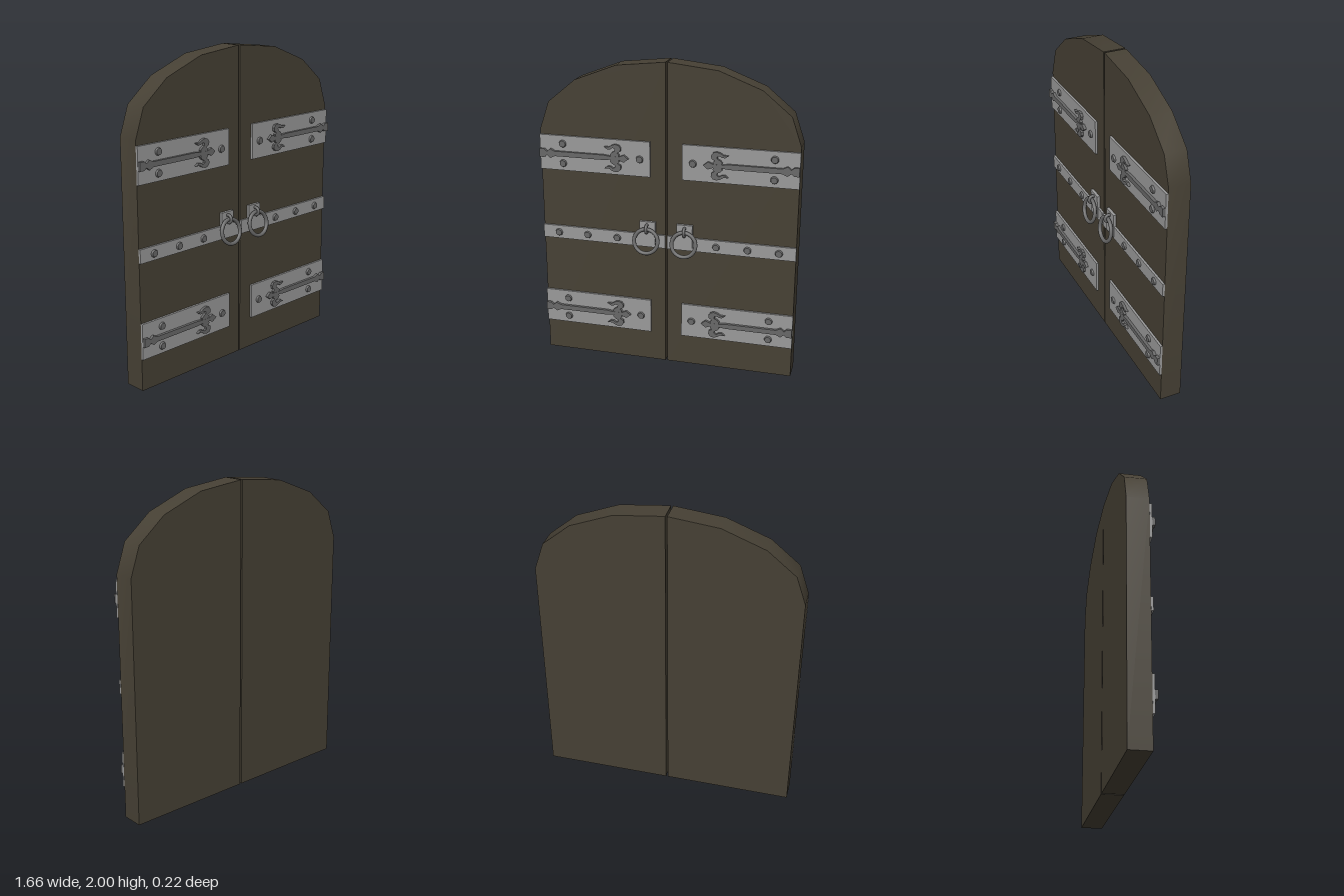
import * as THREE from 'three';
import { toCreasedNormals } from 'three/addons/utils/BufferGeometryUtils.js';

const material = (name, color) => {
  const m = new THREE.MeshStandardMaterial({ color });
  m.name = name;
  return m;
};

export function createModel() {
  const wood = material('dark wood', 0x464034);
  const plateGrey = material('pale iron', 0x999999);
  const iron = material('dark iron', 0x686868);

  const root = new THREE.Group();
  root.name = 'doubleDoor';

  const FRONT = 0.033; // front face of the leaves
  const PLATE = 0.047; // front face of the strap plates

  const add = (parent, name, geometry, mat, x = 0, y = 0, z = 0) => {
    const mesh = new THREE.Mesh(geometry, mat);
    mesh.name = name;
    mesh.position.set(x, y, z);
    parent.add(mesh);
    return mesh;
  };

  // extrude an outline from z0 to z1; s mirrors it across x = 0
  const slab = (points, s, z0, z1) => {
    const shape = new THREE.Shape(points.map(([x, y]) => new THREE.Vector2(x * s, y)));
    const g = new THREE.ExtrudeGeometry(shape, { depth: z1 - z0, bevelEnabled: false });
    return g.translate(0, 0, z0);
  };

  const plate = (parent, name, s, x0, x1, y0, y1, z1) =>
    add(parent, name, new THREE.BoxGeometry(x1 - x0, y1 - y0, z1 - FRONT), plateGrey,
      s * (x0 + x1) / 2, (y0 + y1) / 2, (FRONT + z1) / 2);

  const rivetGeometry = new THREE.CylinderGeometry(0.02, 0.025, 0.012, 14).rotateX(Math.PI / 2);
  const rivet = (parent, x, y) => add(parent, 'rivet', rivetGeometry, iron, x, y, PLATE + 0.005);

  // leaf outline with half of the arch
  const leafOutline = [[0.006, 0], [0.827, 0], [0.827, 1.535], [0.765, 1.715],
    [0.587, 1.862], [0.318, 1.966], [0.006, 2]];

  // upper half of the hinge strap, from the hinge to the spear tip
  const strapHalf = [[0.827, 0.027], [0.795, 0.027], [0.778, 0.012], [0.755, 0.03], [0.725, 0.016],
    [0.4, 0.016], [0.36, 0.011], [0.3, 0.011], [0.268, 0.024], [0.238, 0]];
  const strapOutline = [...strapHalf,
    ...strapHalf.slice(0, -1).reverse().map(([x, y]) => [x, -y])];

  // hooked petal beside the spear tip
  const petal = [[0.35, 0.005], [0.305, 0.005], [0.298, 0.022], [0.31, 0.034], [0.29, 0.045],
    [0.287, 0.066], [0.3, 0.084], [0.322, 0.09], [0.345, 0.083], [0.365, 0.07], [0.395, 0.07],
    [0.375, 0.055], [0.355, 0.056], [0.34, 0.066], [0.325, 0.06], [0.326, 0.046],
    [0.345, 0.036], [0.358, 0.022]];

  for (const s of [1, -1]) {
    const leaf = new THREE.Group();
    leaf.name = s > 0 ? 'leftLeaf' : 'rightLeaf';
    root.add(leaf);

    add(leaf, 'leafPanel', toCreasedNormals(slab(leafOutline, s, -0.105, FRONT), 0.6), wood);

    // wide hinge plates with ornamental straps
    for (const y of [1.387, 0.316]) {
      const hinge = new THREE.Group();
      hinge.name = y > 1 ? 'upperHinge' : 'lowerHinge';
      leaf.add(hinge);
      plate(hinge, 'hingePlate', s, 0.103, 0.828, y - 0.111, y + 0.116, PLATE);
      add(hinge, 'hingeStrap', slab(strapOutline, s, PLATE - 0.002, 0.065), iron, 0, y);
      for (const v of [1, -1]) {
        add(hinge, 'strapPetal', slab(petal.map(([x, h]) => [x, h * v]), s, PLATE - 0.002, 0.064),
          iron, 0, y);
        rivet(hinge, s * 0.675, y + v * 0.064);
      }
      rivet(hinge, s * 0.17, y);
    }

    // narrow middle band
    plate(leaf, 'middleBand', s, 0.006, 0.828, 0.808, 0.895, PLATE);
    for (const x of [0.325, 0.525, 0.722]) rivet(leaf, s * x, 0.85);

    // ring pull hanging from a staple
    const handle = new THREE.Group();
    handle.name = 'ringHandle';
    leaf.add(handle);
    plate(handle, 'handlePlate', s, 0.07, 0.172, 0.82, 0.98, 0.052);
    const staple = add(handle, 'staple', new THREE.TorusGeometry(0.025, 0.01, 8, 20), iron,
      s * 0.123, 0.936, 0.061);
    staple.rotation.y = Math.PI / 2;
    const ring = add(handle, 'pullRing', new THREE.TorusGeometry(0.078, 0.0125, 10, 28), iron,
      s * 0.123, 0.859, 0.083);
    ring.rotation.x = -0.19;
  }
  return root;
}
